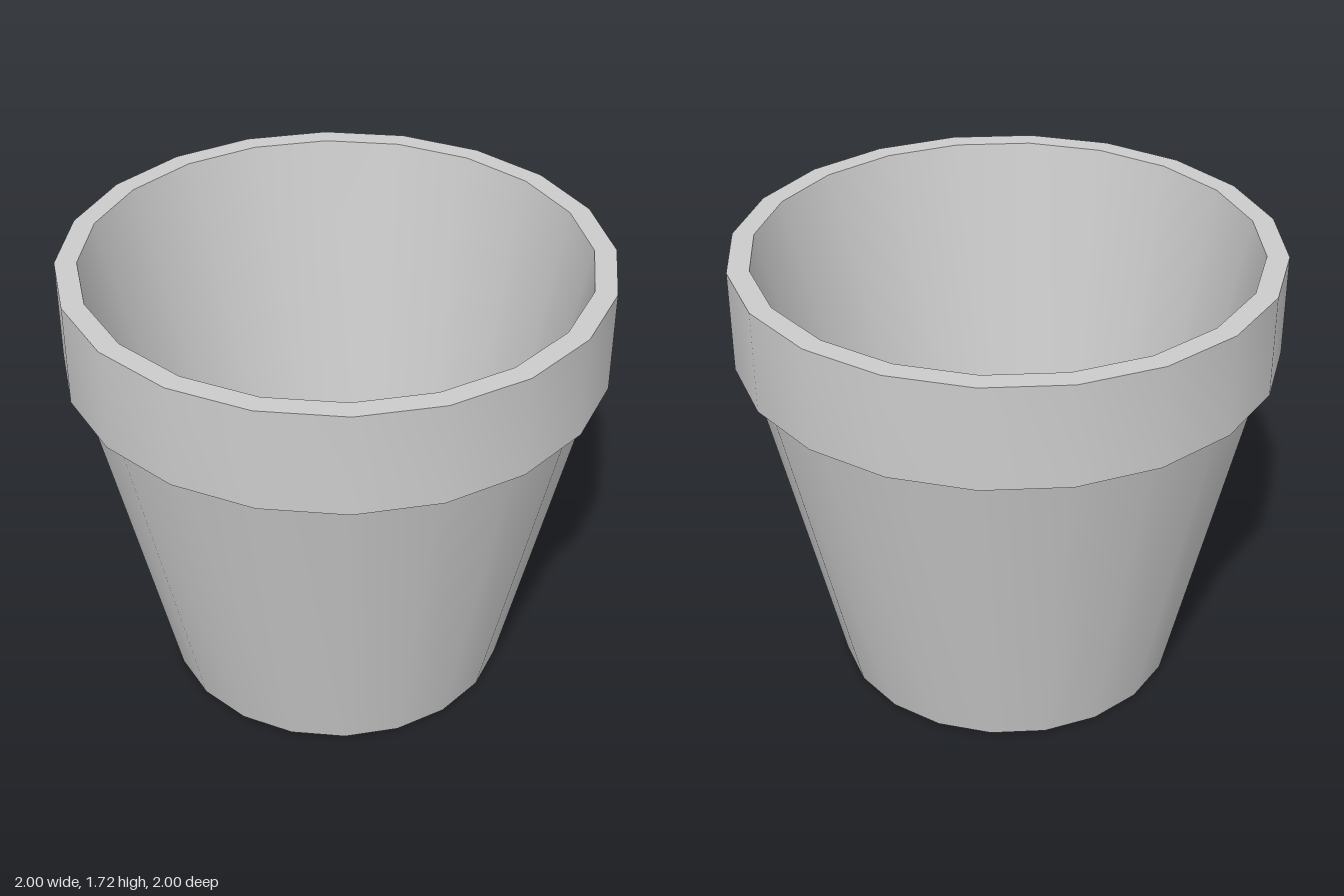
import * as THREE from 'three';
import { toCreasedNormals } from 'three/addons/utils/BufferGeometryUtils.js';

const SIDES = 20;
const CREASE = 0.7;

export function createModel() {
  const pot = new THREE.Group();
  pot.name = 'flowerPot';
  const material = new THREE.MeshStandardMaterial({ color: 0xcccccc });

  const addPart = (name, geometry) => {
    const mesh = new THREE.Mesh(toCreasedNormals(geometry, CREASE), material);
    mesh.name = name;
    pot.add(mesh);
  };

  // Turned parts: the profile runs [radius, height] with the solid on its left
  const turn = (profile) =>
    new THREE.LatheGeometry(profile.map(([r, y]) => new THREE.Vector2(r, y)), SIDES);

  // Tapered outer wall with its foot ring and the recess beneath
  addPart('outerWall', turn([[0.59, 0.04], [0.59, 0], [0.655, 0], [0.95, 1.32]]));

  // Thick collar with a slightly sloped underside and flat lip
  addPart('rim', turn([[0.95, 1.32], [1, 1.335], [1, 1.72], [0.92, 1.72]]));

  // Inside wall, from the lip down to the floor
  addPart('innerWall', turn([[0.92, 1.72], [0.605, 0.08]]));

  // Floor disc with a round drainage hole, its edge set into the wall
  const corners = Array.from({ length: SIDES }, (_, i) => {
    const a = (i / SIDES) * Math.PI * 2;
    return new THREE.Vector2(Math.cos(a) * 0.625, Math.sin(a) * 0.625);
  });
  const disc = new THREE.Shape(corners);
  disc.holes.push(new THREE.Path().absarc(0, 0, 0.113, 0, Math.PI * 2, true));
  const floor = new THREE.ExtrudeGeometry(disc, { depth: 0.04, bevelEnabled: false, curveSegments: 32 });
  floor.rotateX(-Math.PI / 2).translate(0, 0.04, 0);
  addPart('floor', floor);

  return pot;
}
